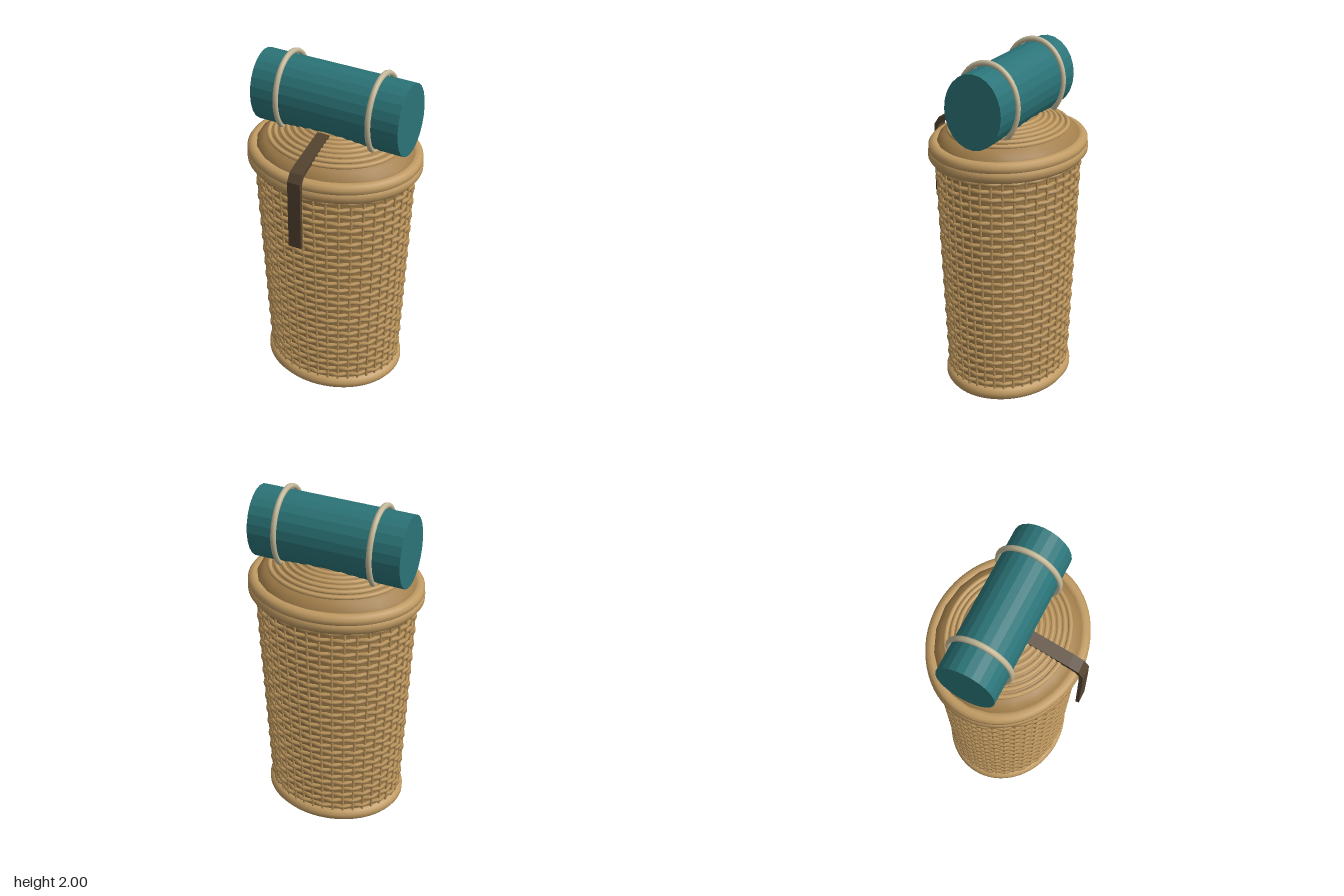
import * as THREE from 'three';

const RATIO = 0.85; // depth of the oval plan relative to its width

const mat = (color, extra = {}) => new THREE.MeshStandardMaterial({ color, roughness: 0.9, ...extra });

// Closed oval path, optionally waving in and out for the weave
class Oval extends THREE.Curve {
  constructor(a, b, y, waves = 0, amp = 0) {
    super();
    Object.assign(this, { a, b, y, waves, amp });
  }
  getPoint(t, target = new THREE.Vector3()) {
    const u = t * Math.PI * 2;
    const d = this.amp * Math.cos(this.waves * u);
    return target.set(-(this.a + d) * Math.cos(u), this.y, (this.b + d) * Math.sin(u));
  }
}

export function createModel() {
  const model = new THREE.Group();
  model.name = 'basketWithBedroll';
  const straw = mat(0xb8925a);
  const wall = mat(0xa37f4b, { side: THREE.DoubleSide });
  const rimStraw = mat(0xc09a62);
  const teal = mat(0x2b7478, { flatShading: true });
  const rope = mat(0xc2b798);
  const leather = mat(0x54432f, { flatShading: true });

  const add = (name, geometry, material, parent = model) => {
    const mesh = new THREE.Mesh(geometry, material);
    mesh.name = name;
    parent.add(mesh);
    return mesh;
  };
  const ring = (name, a, b, y, r, material, parent) =>
    add(name, new THREE.TubeGeometry(new Oval(a, b, y), 72, r, 10, true), material, parent);

  // Tapered wall with a closed bottom
  const radiusAt = (y) => 0.387 + 0.06 * (y - 0.08) / 1.29;
  const wallProfile = [[0, 0.015], [0.37, 0.015], [radiusAt(0.05), 0.05], [radiusAt(1.45), 1.45]];
  const body = add('basketWall',
    new THREE.LatheGeometry(wallProfile.map(([x, y]) => new THREE.Vector2(x, y)), 64), wall);
  body.scale.z = RATIO;

  // Woven strands passing over and under the stakes
  const STAKES = 40, ROWS = 28;
  const weave = new THREE.Group();
  weave.name = 'weave';
  model.add(weave);
  for (let i = 0; i < ROWS; i++) {
    const y = 0.105 + i * 1.265 / (ROWS - 1);
    const r = radiusAt(y) + 0.002;
    const path = new Oval(r, r * RATIO, y, STAKES / 2, i % 2 ? 0.006 : -0.006);
    add('weaveStrand', new THREE.TubeGeometry(path, STAKES * 4, 0.0135, 6, true), straw, weave);
  }

  // Upright stakes
  const stakes = new THREE.Group();
  stakes.name = 'stakes';
  model.add(stakes);
  for (let i = 0; i < STAKES; i++) {
    const u = i / STAKES * Math.PI * 2;
    const at = (y) => {
      const r = radiusAt(y) + 0.006;
      return new THREE.Vector3(r * Math.cos(u), y, r * RATIO * Math.sin(u));
    };
    add('stake', new THREE.TubeGeometry(new THREE.LineCurve3(at(0.06), at(1.4)), 1, 0.0075, 6), straw, stakes);
  }

  // Base ring and doubled rim
  ring('baseRing', 0.38, 0.32, 0.04, 0.04, rimStraw);
  ring('lowerRim', 0.46, 0.388, 1.425, 0.045, rimStraw);
  ring('upperRim', 0.466, 0.394, 1.467, 0.036, rimStraw);

  // Domed lid with coiled rings
  const lid = new THREE.Group();
  lid.name = 'lid';
  model.add(lid);
  const lidProfile = [[0.46, 1.47], [0.445, 1.51], [0.41, 1.541], [0.37, 1.556], [0.31, 1.58],
    [0.23, 1.604], [0.13, 1.622], [0, 1.63]];
  const dome = add('lidDome',
    new THREE.LatheGeometry(lidProfile.map(([x, y]) => new THREE.Vector2(x, y)), 20), wall, lid);
  dome.scale.z = RATIO;
  for (let i = 0; i < 10; i++) {
    const r = 0.375 - i * 0.036;
    const y = 1.625 - 0.07 * (r / 0.375) ** 2;
    ring('lidCoil', r, r * RATIO, y, 0.013, rimStraw, lid);
  }

  // Leather strap: from the lid, over the rim and hanging down the front
  const strapOuter = [[0.13, 1.63], [0.28, 1.59], [0.37, 1.567], [0.43, 1.545], [0.46, 1.5], [0.462, 1.4], [0.462, 1.09]];
  const strapInner = [[0.442, 1.09], [0.44, 1.4], [0.436, 1.495], [0.415, 1.525], [0.36, 1.546], [0.27, 1.57], [0.13, 1.61]];
  const strapShape = new THREE.Shape([...strapOuter, ...strapInner].map(([z, y]) => new THREE.Vector2(z, y)));
  const strapGeo = new THREE.ExtrudeGeometry(strapShape, { depth: 0.076, bevelEnabled: false });
  strapGeo.translate(0, 0, -0.038).rotateY(-Math.PI / 2);
  add('strap', strapGeo, leather);

  // Bedroll lying on the lid, tied with two cords
  const bedroll = new THREE.Group();
  bedroll.name = 'bedroll';
  bedroll.position.set(0, 1.757, -0.02);
  model.add(bedroll);
  const rollGeo = new THREE.CylinderGeometry(0.208, 0.208, 0.888, 24).rotateZ(Math.PI / 2);
  add('roll', rollGeo, teal, bedroll).scale.z = 0.81;
  for (const side of [-1, 1]) {
    const cordGeo = new THREE.TorusGeometry(0.225, 0.016, 10, 48).rotateY(Math.PI / 2);
    const cord = add('cord', cordGeo, rope, bedroll);
    cord.scale.z = 0.81;
    cord.position.x = side * 0.277;
  }

  model.rotation.y = -0.433;
  const root = new THREE.Group();
  root.name = 'basket';
  root.add(model);
  return root;
}
